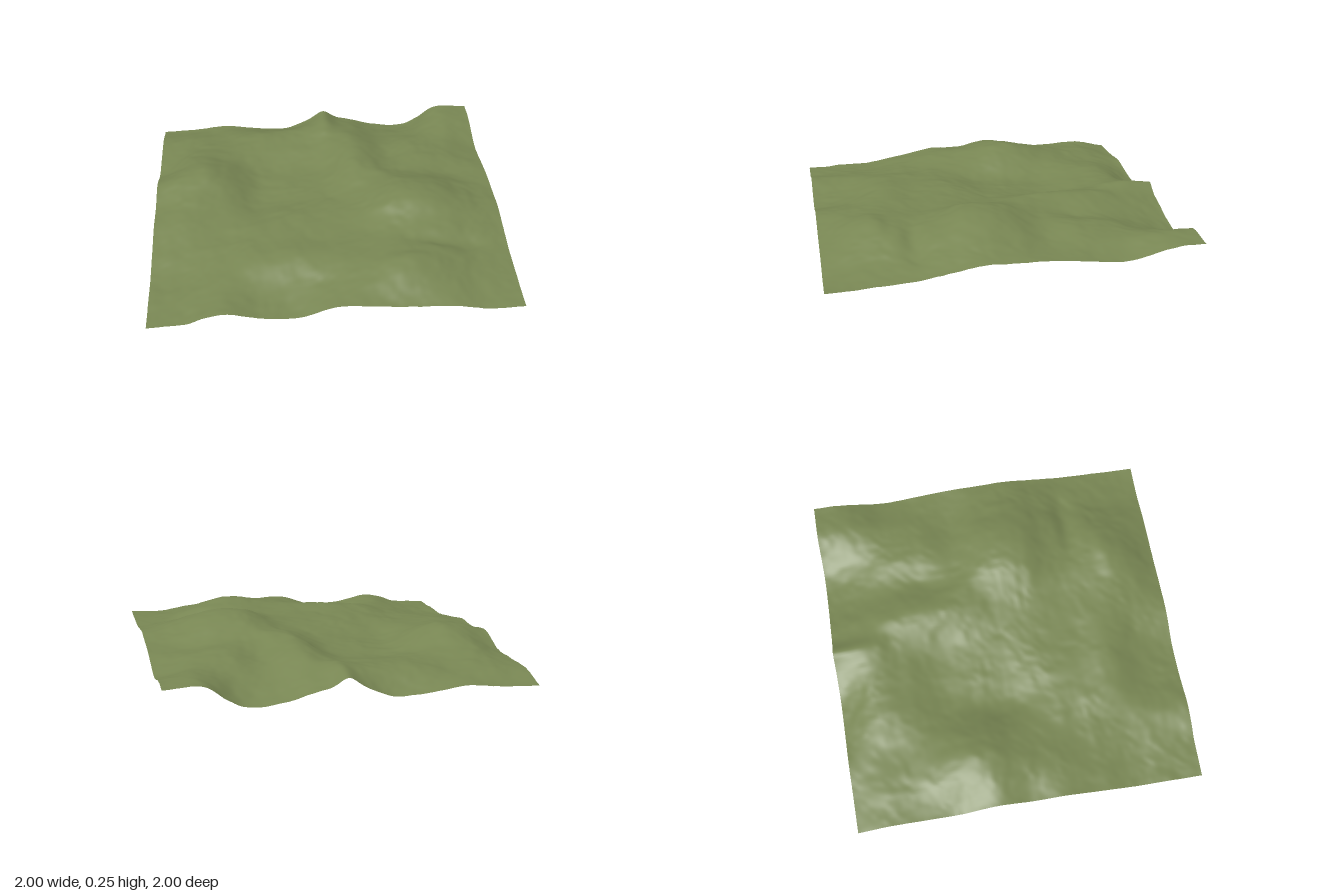
import * as THREE from 'three';

const N = 11;          // survey points per side
const SEGMENTS = 150;  // mesh divisions per side

// Survey heights in hundredths: rows run back to front, columns run -x to +x
const SURVEY = [
  4, 5, 7, 5, 4, 11, 10, 5, 5, 17, 16.5,
  8, 9, 9, 12, 13, 15, 14, 9, 10, 17, 15.5,
  7, 11, 11, 11.5, 12, 13, 18, 13, 15, 14.5, 10,
  7, 15, 14.5, 8.5, 8, 10.5, 19.5, 14, 17, 15, 11,
  13, 18, 16.5, 8, 9, 11, 19, 18, 16, 13.5, 13.5,
  9, 14, 12.5, 8, 10, 12.5, 16, 22.5, 22.5, 17, 14,
  9, 11, 10, 11, 13, 14, 16, 23.5, 23.5, 18, 13.5,
  5.5, 7, 9, 12, 13, 13.5, 14.5, 17, 17.5, 14, 10,
  2, 4, 8, 12, 14, 14.5, 15, 17, 16, 10, 7.5,
  1, 3, 7.5, 6, 7, 11, 14, 16, 12.5, 7.5, 6,
  0.5, 2, 7.5, 4, 3.5, 9.5, 9, 7.5, 7.5, 4.5, 5,
];

// Narrow landforms: centre x, z, half-widths in x, z, height
const LANDFORMS = [
  [0.05, -1, 0.06, 0.25, 0.045],    // back spur
  [0.65, 0.5, 0.2, 0.06, -0.03],    // gully below the main hill
  [0.4, 0.7, 0.14, 0.07, 0.018],    // front knoll
  [-0.7, -0.3, 0.06, 0.18, 0.015],  // west ridge crest
];

const clampIndex = (i) => Math.min(N - 1, Math.max(0, i));
const survey = (i, j) => SURVEY[clampIndex(j) * N + clampIndex(i)] / 100;

function cubic(a, b, c, d, t) {
  return b + 0.5 * t * (c - a + t * (2 * a - 5 * b + 4 * c - d + t * (3 * (b - c) + d - a)));
}

// Smooth hills through the survey points
function hillHeight(x, z) {
  const u = (x + 1) / 2 * (N - 1), v = (z + 1) / 2 * (N - 1);
  const i = Math.min(N - 2, Math.floor(u)), j = Math.min(N - 2, Math.floor(v));
  const rows = [-1, 0, 1, 2].map((r) => cubic(
    survey(i - 1, j + r), survey(i, j + r), survey(i + 1, j + r), survey(i + 2, j + r), u - i));
  return cubic(...rows, v - j);
}

function landformHeight(x, z) {
  return LANDFORMS.reduce((sum, [cx, cz, sx, sz, h]) =>
    sum + h * Math.exp(-(((x - cx) / sx) ** 2) - ((z - cz) / sz) ** 2), 0);
}

// Repeatable value noise for the weathered ground
function hash(i, j) {
  const s = Math.sin(i * 127.1 + j * 311.7) * 43758.5453;
  return s - Math.floor(s);
}

function noise(x, z) {
  const i = Math.floor(x), j = Math.floor(z);
  const fade = (t) => t * t * (3 - 2 * t);
  const u = fade(x - i), v = fade(z - j);
  const mix = THREE.MathUtils.lerp;
  return mix(mix(hash(i, j), hash(i + 1, j), u), mix(hash(i, j + 1), hash(i + 1, j + 1), u), v) - 0.5;
}

function roughness(x, z) {
  const wx = x + 0.08 * noise(x * 4 + 9, z * 4), wz = z + 0.08 * noise(x * 4, z * 4 + 5);
  return 0.006 * noise(wx * 9, wz * 9) + 0.005 * noise(wx * 16, wz * 16) + 0.003 * noise(wx * 28, wz * 28);
}

export function createModel() {
  const model = new THREE.Group();
  model.name = 'terrain';

  const grass = new THREE.MeshStandardMaterial({ color: 0x788653, side: THREE.DoubleSide });
  grass.name = 'grass green';

  // Rolling ground sheet
  const geometry = new THREE.PlaneGeometry(2, 2, SEGMENTS, SEGMENTS).rotateX(-Math.PI / 2);
  const p = geometry.attributes.position;
  for (let k = 0; k < p.count; k++) {
    const x = p.getX(k), z = p.getZ(k);
    p.setY(k, hillHeight(x, z) + landformHeight(x, z) + roughness(x, z));
  }

  // Rest the lowest point on the floor
  geometry.computeBoundingBox();
  geometry.translate(0, -geometry.boundingBox.min.y, 0);
  geometry.computeVertexNormals();

  const ground = new THREE.Mesh(geometry, grass);
  ground.name = 'ground';
  model.add(ground);
  return model;
}
